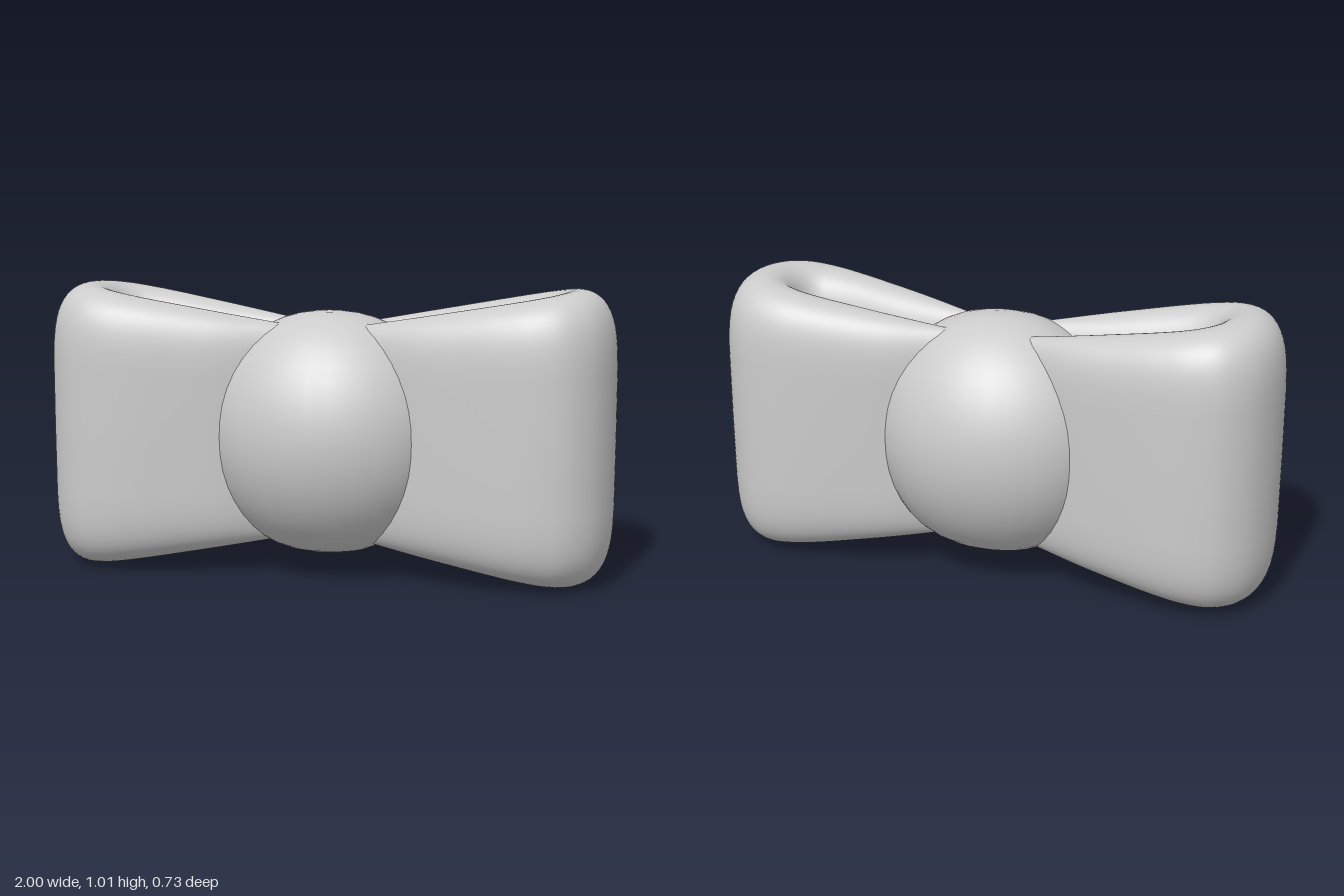
import * as THREE from 'three';

const material = new THREE.MeshStandardMaterial({ color: 0xcccccc, side: THREE.DoubleSide });
const MID_Y = 0.504;

// Half of the loop in plan (x, z): from inside the knot out to the tip
const OUTER = [[0.04, 0.11], [0.2, 0.18], [0.34, 0.234], [0.5, 0.274], [0.64, 0.299], [0.75, 0.304], [0.86, 0.278], [0.94, 0.208], [0.985, 0.11], [1, 0]];
const INNER = [[0.04, 0.05], [0.2, 0.046], [0.34, 0.042], [0.45, 0.044], [0.56, 0.05], [0.64, 0.051], [0.69, 0.046], [0.718, 0.034], [0.731, 0.018], [0.735, 0]];

// Mirrors a half outline in z to make the full loop curve
function loopCurve(half) {
  const back = half.slice(0, -1).reverse().map(([x, z]) => [x, -z]);
  return new THREE.CatmullRomCurve3([...half, ...back].map(([x, z]) => new THREE.Vector3(x, 0, z)));
}

// A soft thick band: rounded cross-sections strung between the outer and inner curves
function loopGeometry(stations = 96, ring = 56) {
  const outer = loopCurve(OUTER), inner = loopCurve(INNER);
  const positions = [], indices = [];
  const soft = (value, power) => Math.sign(value) * Math.pow(Math.abs(value), power);
  for (let i = 0; i <= stations; i++) {
    const o = outer.getPoint(i / stations), n = inner.getPoint(i / stations);
    const mid = o.clone().add(n).multiplyScalar(0.5);
    const reach = o.clone().sub(mid);
    const halfHeight = 0.387 + 0.175 * (mid.x - 0.2);
    for (let j = 0; j < ring; j++) {
      const a = (j / ring) * Math.PI * 2;
      const u = Math.cos(a), v = soft(Math.sin(a), 1 / 3);
      positions.push(mid.x + reach.x * u, MID_Y + halfHeight * v, mid.z + reach.z * u);
      if (i < stations) {
        const k = (j + 1) % ring;
        const p = i * ring + j, q = i * ring + k;
        indices.push(p, p + ring, q, q, p + ring, q + ring);
      }
    }
  }
  const geometry = new THREE.BufferGeometry();
  geometry.setAttribute('position', new THREE.Float32BufferAttribute(positions, 3));
  geometry.setIndex(indices);
  geometry.computeVertexNormals();
  return geometry;
}

// Slightly squared ball for the centre knot
function knotGeometry() {
  const geometry = new THREE.SphereGeometry(1, 32, 24);
  const pos = geometry.attributes.position, p = new THREE.Vector3(), power = 2.2;
  for (let i = 0; i < pos.count; i++) {
    p.fromBufferAttribute(pos, i);
    const length = Math.pow(Math.abs(p.x) ** power + Math.abs(p.y) ** power + Math.abs(p.z) ** power, 1 / power);
    p.divideScalar(length);
    pos.setXYZ(i, p.x * 0.42, p.y * 0.427, p.z * 0.363);
  }
  geometry.computeVertexNormals();
  // Keep the seam smooth by using the ellipsoid direction as the normal
  const normal = geometry.attributes.normal;
  for (let i = 0; i < pos.count; i++) {
    p.fromBufferAttribute(pos, i);
    p.set(p.x / 0.42 ** 2, p.y / 0.427 ** 2, p.z / 0.363 ** 2).normalize();
    normal.setXYZ(i, p.x, p.y, p.z);
  }
  return geometry;
}

export function createModel() {
  const model = new THREE.Group();
  model.name = 'bow';

  const geometry = loopGeometry();
  for (const [name, turn] of [['leftLoop', 0], ['rightLoop', Math.PI]]) {
    const loop = new THREE.Mesh(geometry, material);
    loop.name = name;
    loop.rotation.y = turn;
    model.add(loop);
  }

  const knot = new THREE.Mesh(knotGeometry(), material);
  knot.name = 'knot';
  knot.position.y = 0.493;
  model.add(knot);

  return model;
}
